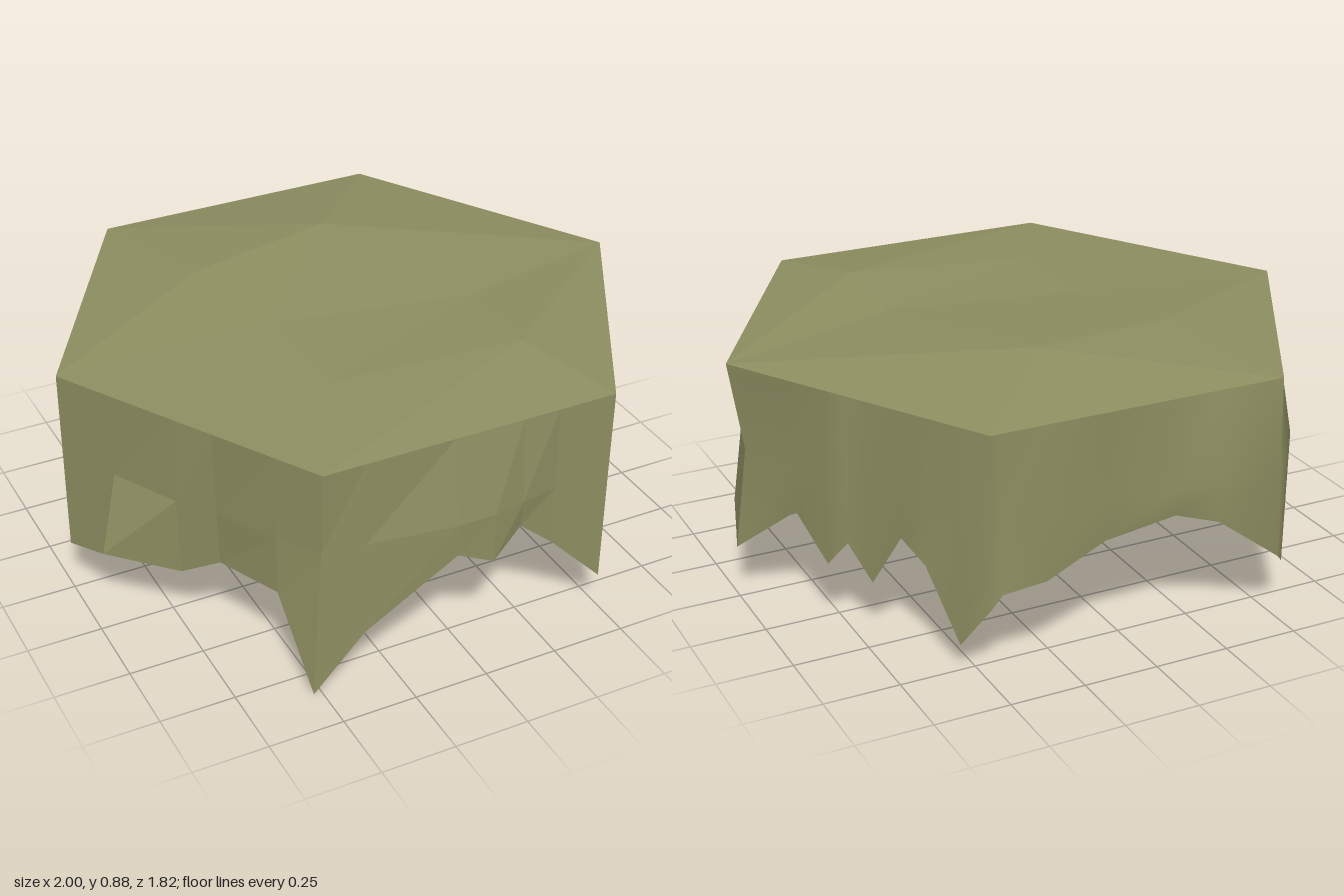
import * as THREE from 'three';

const TOP = 0.82, MID = 0.53;

// Hexagon corner k, counted from +x towards +z
const corner = (k, y = TOP) =>
  new THREE.Vector3(Math.cos(k * Math.PI / 3), y, Math.sin(k * Math.PI / 3));

// Rows per side: [position along side, hem height, hem offset, mid offset]
const frontSides = [
  [[0, .18, 0, -.045], [.16, .275, .035, 0], [.33, .42, 0, -.03],
    [.47, .315, -.01, 0], [.72, .42, 0, -.02], [.85, .28, 0, -.02]],
  [[.01, .13, 0, 0], [.2, .325, 0, 0], [.325, .435, .01, .02],
    [.435, .355, .04, .04], [.56, .415, .035, .04], [.86, .2, 0, 0]],
  [[.03, 0, .013, -.01], [.17, .33, 0, 0], [.4, .335, -.02, -.01],
    [.54, .255, 0, .01], [.79, .27, .08, 0]],
];
const backSides = [
  [[0, .18, 0, 0], [.22, .385, .03, .05], [.37, .35, .03, .03],
    [.55, .185, 0, 0], [.755, .37, .045, .05], [.93, .155, .03, .03]],
  [[0, .215, .02, .01], [.23, .39, .03, .045], [.37, .43, 0, .02],
    [.6, .38, -.03, -.02], [.82, .315, .015, .01], [.965, .3, .01, 0]],
  [[0, .25, 0, 0], [.12, .09, -.01, 0], [.225, .345, .02, .01], [.33, .4, 0, 0],
    [.46, .2, -.02, 0], [.53, .33, .01, .01], [.6, .245, .025, .025], [.76, .365, -.02, -.02]],
];

function buildGeometry(points, index, flat) {
  const indexed = new THREE.BufferGeometry().setFromPoints(points);
  indexed.setIndex(index);
  const g = flat ? indexed.toNonIndexed() : indexed;
  g.computeVertexNormals();
  return g;
}

// One column of a side: top rim, bulging middle, ragged hem
function column(k, [t, hem, hemOut, midOut]) {
  const a = corner(k), b = corner(k + 1);
  const out = a.clone().add(b).setY(0).normalize();
  const at = (s, y, o) => a.clone().lerp(b, s).setY(y).addScaledVector(out, o);
  const rim = t < 0.04 ? 0 : t;
  return [at(rim, TOP, 0), at((rim + t) / 2, MID, midOut), at(t, hem, hemOut)];
}

// Three neighbouring sides as one strip, ending on the next strip's first column
function drape(sides, startCorner, nextRow, flat) {
  const columns = sides.flatMap((rows, i) => rows.map(r => column(startCorner + i, r)));
  columns.push(column(startCorner + 3, nextRow));
  const index = [];
  for (let i = 0; i < columns.length - 1; i++) {
    for (let j = 0; j < 2; j++) {
      const a = i * 3 + j, b = a + 3;
      index.push(a, b, b + 1, a, b + 1, a + 1);
    }
  }
  return buildGeometry(columns.flat(), index, flat);
}

// Uneven top: six rim corners and six raised inner points
function topGeometry() {
  const points = [0, 1, 2, 3, 4, 5].map(k => corner(k));
  const inner = [[.14, .885, -.45], [-.38, .862, -.36], [-.27, .845, .04],
    [.39, .845, .16], [.37, .865, .52], [-.27, .84, .44]];
  inner.forEach(p => points.push(new THREE.Vector3(...p)));
  const [A, B, C, D, E, F] = [6, 7, 8, 9, 10, 11];
  const triangles = [
    [0, 1, E], [0, E, D], [0, D, A], [0, A, 5], [5, A, 4], [4, A, B],
    [4, B, 3], [3, B, C], [3, C, F], [3, F, 2], [2, F, E], [2, E, 1],
    [A, D, C], [A, C, B], [D, E, F], [D, F, C],
  ];
  return buildGeometry(points, triangles.flatMap(([a, b, c]) => [a, c, b]), true);
}

export function createModel() {
  const group = new THREE.Group();
  group.name = 'hexagonalGroundTile';
  const material = new THREE.MeshStandardMaterial({ color: 0x8f8f62, side: THREE.DoubleSide });

  const add = (name, geometry) => {
    const mesh = new THREE.Mesh(geometry, material);
    mesh.name = name;
    group.add(mesh);
  };
  add('topSurface', topGeometry());
  add('frontSkirt', drape(frontSides, 0, backSides[0][0], true));
  add('backSkirt', drape(backSides, 3, frontSides[0][0], false));
  return group;
}
